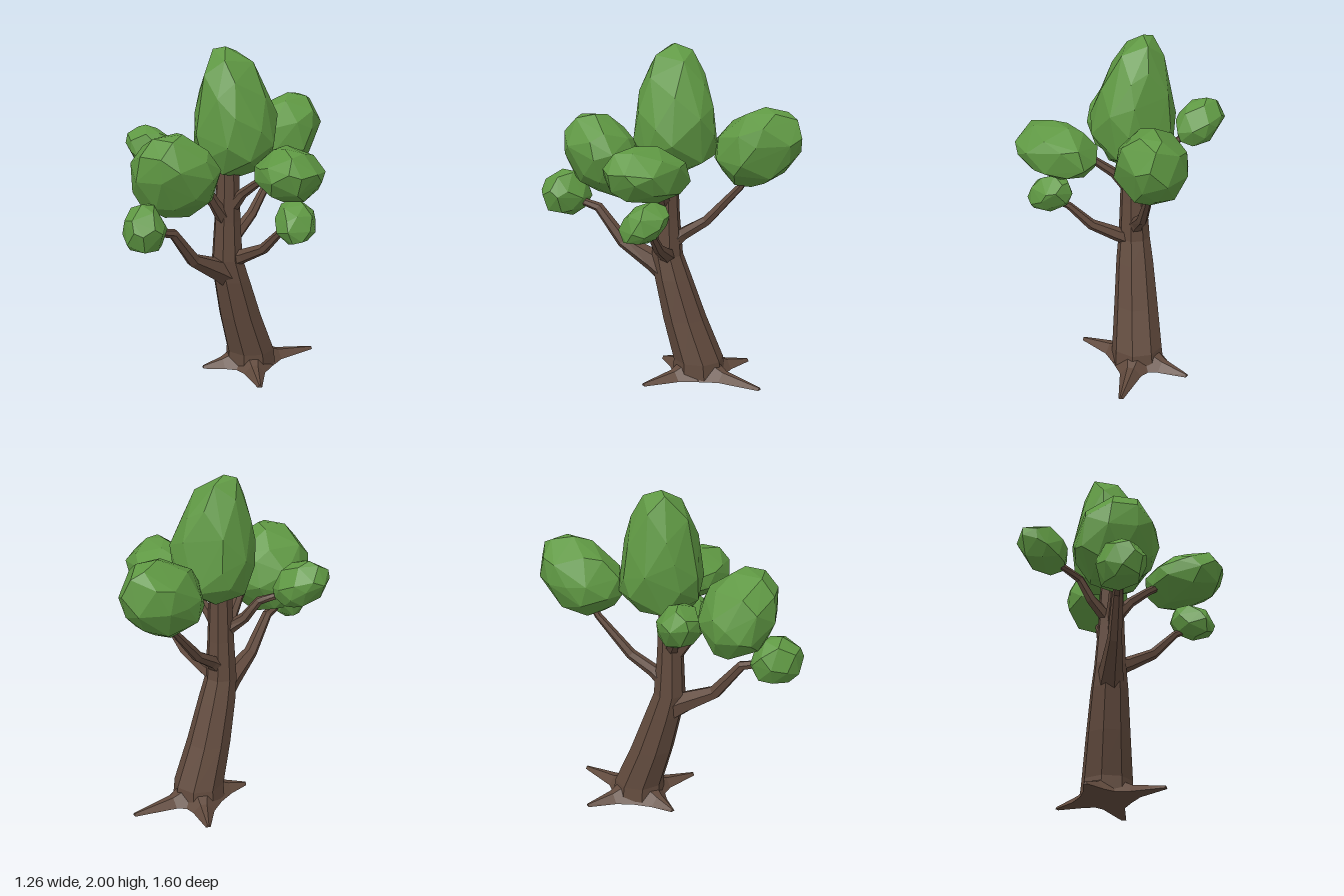
import * as THREE from 'three';
import { ConvexGeometry } from 'three/addons/geometries/ConvexGeometry.js';

const V = (a) => new THREE.Vector3(...a);
const bark = new THREE.MeshStandardMaterial({ color: 0x614a3d, flatShading: true });
const leaf = new THREE.MeshStandardMaterial({ color: 0x5f9843, flatShading: true });

function seeded(seed) {
  let s = seed * 7919 + 17;
  return () => (s = (s * 16807) % 2147483647) / 2147483647;
}

function addMesh(group, name, geometry, material) {
  const mesh = new THREE.Mesh(geometry, material);
  mesh.name = name;
  group.add(mesh);
}

// Faceted limb through rings [x, y, z, radius]; a fixed axis keeps the rings parallel
function limb(rings, sides, axis) {
  const centres = rings.map((r) => V(r));
  const ref = new THREE.Vector3(1, -1, 0.3);
  const loops = rings.map((r, i) => {
    const t = axis ? axis.clone() : centres[Math.min(i + 1, rings.length - 1)].clone()
      .sub(centres[Math.max(i - 1, 0)]).normalize();
    const u = t.clone().cross(ref).normalize();
    const v = t.clone().cross(u);
    return Array.from({ length: sides }, (_, k) => {
      const a = (k / sides) * Math.PI * 2;
      return centres[i].clone().addScaledVector(u, r[3] * Math.cos(a)).addScaledVector(v, r[3] * Math.sin(a));
    });
  });
  const pts = [];
  const last = rings.length - 1;
  for (let k = 0; k < sides; k++) {
    const n = (k + 1) % sides;
    for (let i = 0; i < last; i++) {
      const a = loops[i], b = loops[i + 1];
      pts.push(a[k], a[n], b[n], a[k], b[n], b[k]);
    }
    pts.push(centres[0], loops[0][n], loops[0][k]);
    pts.push(centres[last], loops[last][k], loops[last][n]);
  }
  const g = new THREE.BufferGeometry().setFromPoints(pts);
  g.computeVertexNormals();
  return g;
}

// Convex leaf clump: an irregular, slightly boxy egg, stretched along an axis and fitted to a box
function clump(min, max, axis, stretch, taper, count, seed) {
  const rnd = seeded(seed);
  const turn = new THREE.Quaternion().setFromUnitVectors(new THREE.Vector3(0, 1, 0), V(axis).normalize());
  const pts = [];
  for (let i = 0; i < count; i++) {
    const y = 1 - (2 * i) / (count - 1);
    const a = i * 2.39996 + (rnd() - 0.5) * 0.6;
    const r = (1 - y * y) ** 0.43 * (1 - taper * y);
    const h = y * stretch * (y < 0 ? 1 - taper : 1);
    const bump = 0.97 + rnd() * 0.07;
    pts.push(new THREE.Vector3(r * Math.cos(a), h, r * Math.sin(a)).multiplyScalar(bump).applyQuaternion(turn));
  }
  const box = new THREE.Box3().setFromPoints(pts);
  const size = box.getSize(new THREE.Vector3());
  const lo = V(min), span = V(max).sub(lo);
  pts.forEach((p) => p.sub(box.min).divide(size).multiply(span).add(lo));
  return new ConvexGeometry(pts);
}

export function createModel() {
  const tree = new THREE.Group();
  tree.name = 'tree';

  // Leaning trunk
  addMesh(tree, 'trunk', limb([
    [-0.06, 0, -0.2, 0.16], [-0.057, 0.1, -0.195, 0.152], [-0.06, 0.35, -0.105, 0.132],
    [-0.06, 0.6, -0.03, 0.112], [-0.06, 0.74, 0.007, 0.095], [-0.055, 0.98, 0.01, 0.08],
    [-0.05, 1.35, 0.01, 0.066],
  ], 8, new THREE.Vector3(0, 1, 0)), bark);

  // Roots: two convex pieces each, from a broad shoulder to a thin tip
  const base = [-0.06, -0.2];
  [[0.085, -0.62], [-0.33, -0.43], [-0.2, 0.08], [0.25, 0.05]].forEach(([tx, tz]) => {
    const root = new THREE.Group();
    root.name = 'root';
    const dx = tx - base[0], dz = tz - base[1], len = Math.hypot(dx, dz);
    const section = (d, w, h) => [[-w, 0], [w, 0], [w * 0.3, h], [-w * 0.3, h]].map(([s, y]) =>
      new THREE.Vector3(base[0] + (dx * d - dz * s) / len, y, base[1] + (dz * d + dx * s) / len));
    const cuts = [section(0.09, 0.13, 0.1), section(0.19, 0.065, 0.05), section(len, 0.014, 0.015)];
    for (let i = 0; i < 2; i++) {
      addMesh(root, 'rootPiece', new ConvexGeometry([...cuts[i], ...cuts[i + 1]]), bark);
    }
    tree.add(root);
  });

  // Branches
  const branches = {
    lowFrontBranch: [[-0.06, 0.62, -0.02, 0.09], [-0.06, 0.69, 0.1, 0.068], [-0.06, 0.79, 0.29, 0.042],
      [-0.06, 0.99, 0.45, 0.03], [-0.06, 1.03, 0.6, 0.02]],
    lowLeftBranch: [[-0.05, 0.73, 0, 0.06], [0.05, 0.77, -0.02, 0.043], [0.2, 0.845, -0.03, 0.032],
      [0.33, 0.975, -0.03, 0.022], [0.42, 1.02, -0.03, 0.016]],
    backBranch: [[-0.06, 0.8, 0, 0.06], [-0.07, 0.87, -0.09, 0.04], [-0.08, 0.96, -0.23, 0.033],
      [-0.09, 1.18, -0.43, 0.022], [-0.09, 1.32, -0.52, 0.018]],
    rightBranch: [[-0.06, 1.02, 0.02, 0.045], [-0.18, 1.13, 0.08, 0.032], [-0.25, 1.24, 0.12, 0.025],
      [-0.34, 1.28, 0.17, 0.02], [-0.42, 1.32, 0.2, 0.016]],
    highFrontBranch: [[-0.05, 0.98, 0.03, 0.05], [-0.05, 1.11, 0.13, 0.034], [-0.05, 1.22, 0.2, 0.028],
      [-0.05, 1.3, 0.32, 0.02]],
    highLeftBranch: [[-0.05, 1.03, 0.01, 0.045], [0.06, 1.16, 0.0, 0.03], [0.17, 1.24, 0, 0.024],
      [0.3, 1.31, 0, 0.02]],
  };
  for (const [name, rings] of Object.entries(branches)) addMesh(tree, name, limb(rings, 6), bark);

  // Leaf clumps: lower corner, upper corner, axis, stretch along it, taper, corner count
  const clumps = {
    crownLeaves: [[-0.29, 1.24, -0.3], [0.2, 2, 0.2], [-0.14, 1, 0.06], 1.5, 0.25, 36],
    frontLeaves: [[-0.31, 1.06, 0.18], [0.19, 1.575, 0.66], [0.7, -1, 0.75], 0.76, 0, 36],
    backLeaves: [[-0.29, 1.18, -0.8], [0.11, 1.66, -0.27], [0.03, 0.65, -0.8], 1.32, 0.06, 34],
    leftLeaves: [[0.16, 1.17, -0.24], [0.63, 1.49, 0.2], [1, 0.18, 0.6], 1.4, 0, 34],
    rightLeaves: [[-0.63, 1.23, 0.09], [-0.33, 1.52, 0.35], [-0.8, 0.6, 0.55], 1.35, 0, 28],
    lowFrontLeaves: [[-0.2, 0.92, 0.52], [0.08, 1.21, 0.8], [1, 0, 1], 1.25, 0, 28],
    lowLeftLeaves: [[0.31, 0.94, -0.17], [0.57, 1.19, 0.1], [-0.4, 0.7, -0.65], 1.4, 0, 28],
  };
  Object.entries(clumps).forEach(([name, c], i) => addMesh(tree, name, clump(...c, i + 3), leaf));

  return tree;
}
